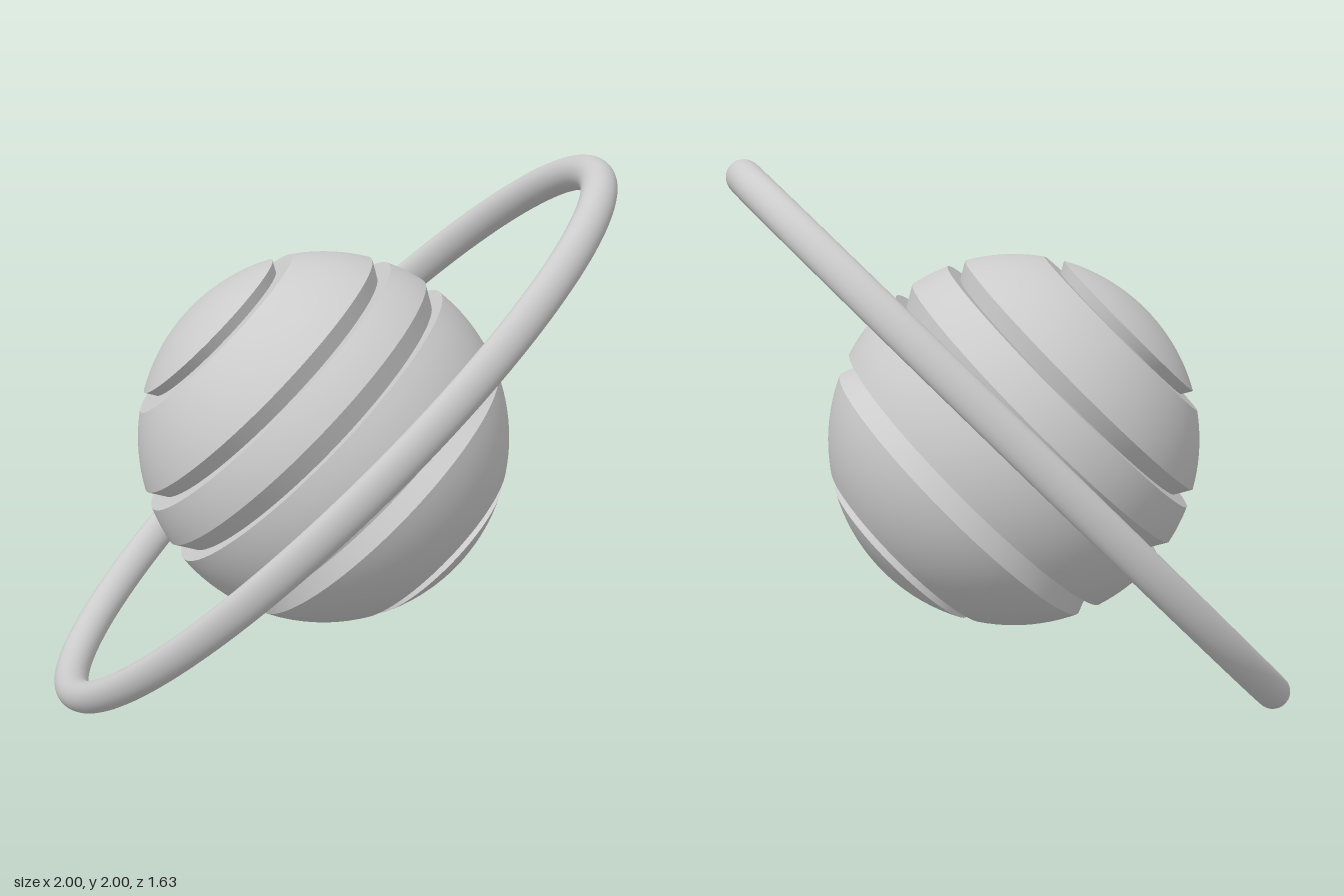
import * as THREE from 'three';

const R = 0.66;
const material = new THREE.MeshStandardMaterial({ color: 0xcccccc, side: THREE.DoubleSide });
const radiusAt = (h) => Math.sqrt(Math.max(0, R * R - h * h));

// Surface of revolution around the planet's axis, listed from low to high
function revolve(name, points) {
  const mesh = new THREE.Mesh(new THREE.LatheGeometry(points, 96), material);
  mesh.name = name;
  return mesh;
}

// Spherical slice between two heights along the axis
function band(name, low, high) {
  const a = Math.asin(low / R), b = Math.asin(high / R);
  const steps = Math.max(4, Math.ceil((b - a) / 0.05));
  const points = [];
  for (let i = 0; i <= steps; i++) {
    const t = a + ((b - a) * i) / steps;
    points.push(new THREE.Vector2(Math.max(0, R * Math.cos(t)), R * Math.sin(t)));
  }
  return revolve(name, points);
}

// Notch: a flat wall on the side nearer the equator of the cut, and a sloping floor
function groove(low, high, floorRadius, wallLow) {
  const group = new THREE.Group();
  group.name = 'groove';
  const bottom = new THREE.Vector2(radiusAt(low), low);
  const corner = new THREE.Vector2(floorRadius, wallLow ? low : high);
  const top = new THREE.Vector2(radiusAt(high), high);
  group.add(revolve(wallLow ? 'grooveWall' : 'grooveFloor', [bottom, corner]));
  group.add(revolve(wallLow ? 'grooveFloor' : 'grooveWall', [corner, top]));
  return group;
}

export function createModel() {
  const model = new THREE.Group();
  model.name = 'ringedPlanet';

  // Tilted, grooved planet
  const planet = new THREE.Group();
  planet.name = 'planet';
  const grooves = [
    [-0.57, -0.535, 0.305, false],
    [-0.27, -0.19, 0.57, false],
    [0.07, 0.14, 0.605, true],
    [0.272, 0.33, 0.538, true],
    [0.537, 0.575, 0.302, true],
  ];
  let low = -R;
  for (const g of grooves) {
    planet.add(band('band', low, g[0]), groove(...g));
    low = g[1];
  }
  planet.add(band('band', low, R));
  planet.rotation.z = Math.PI / 4;
  planet.position.y = 1;
  model.add(planet);

  // Oval ring, leaning slightly off the planet's equator
  const ringGeometry = new THREE.TorusGeometry(1.322, 0.0625, 32, 160);
  ringGeometry.rotateX(Math.PI / 2);
  ringGeometry.scale(1, 1, 0.592);
  ringGeometry.rotateX(0.105);
  ringGeometry.rotateZ(Math.PI / 4);
  const ring = new THREE.Mesh(ringGeometry, material);
  ring.name = 'ring';
  ring.position.y = 1;
  model.add(ring);

  return model;
}
